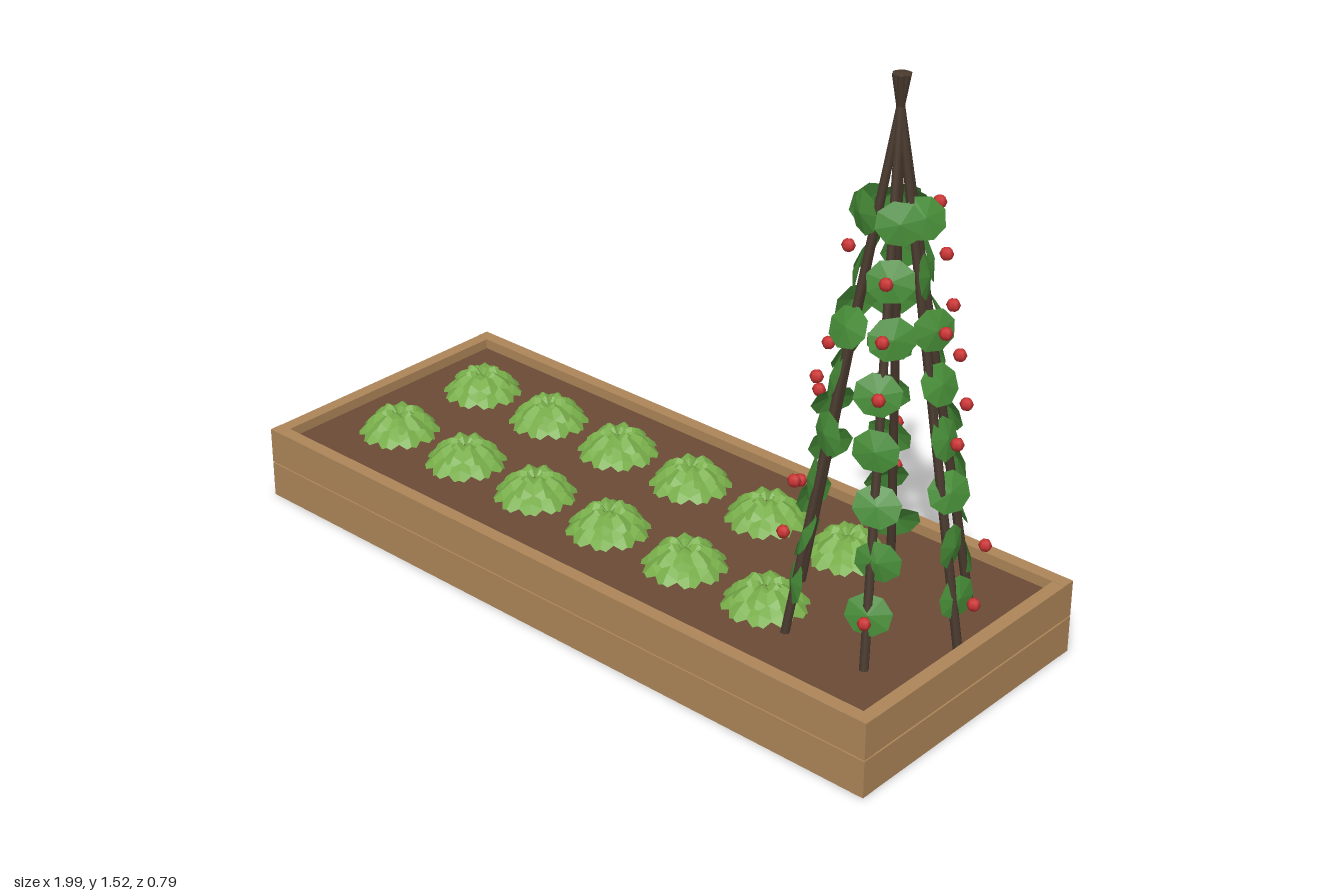
import * as THREE from 'three';
import { mergeGeometries } from 'three/addons/utils/BufferGeometryUtils.js';

let seed = 7;
const rand = (a, b) => {
  seed = (seed * 16807) % 2147483647;
  return a + (b - a) * (seed / 2147483647);
};

// Faceted geometry from a list of points and triangle indices
function faceted(points, index) {
  const g = new THREE.BufferGeometry();
  g.setAttribute('position', new THREE.Float32BufferAttribute(points.flat(), 3));
  g.setIndex(index);
  const flat = g.toNonIndexed();
  flat.computeVertexNormals();
  return flat;
}

// Arched petal running outwards from (r0, y0) to (r1, y1), with a central ridge
function petal(r0, y0, r1, y1, halfWidth, angle) {
  const stations = [[0, 0.3], [0.35, 0.85], [0.75, 1], [1, 0.4]];
  const points = [], index = [];
  stations.forEach(([t, w], i) => {
    const r = r0 + (r1 - r0) * t;
    const y = y0 + (y1 - y0) * t + 0.012 * Math.sin(Math.PI * t);
    for (const s of [-1, 0, 1]) points.push([r, y - Math.abs(s) * 0.013 * w, s * halfWidth * w]);
    if (i === 0) return;
    for (let j = 0; j < 2; j++) {
      const a = (i - 1) * 3 + j, b = a + 3;
      index.push(a, a + 1, b, a + 1, b + 1, b);
    }
  });
  return faceted(points, index).rotateY(angle);
}

// Leafy rosette: three rings of petals
function rosetteGeometry() {
  const parts = [];
  const ring = (n, r0, y0, r1, y1, w, twist) => {
    for (let i = 0; i < n; i++) parts.push(petal(r0, y0, r1, y1, w, (i / n) * Math.PI * 2 + twist));
  };
  ring(10, 0.03, 0.058, 0.106, 0.016, 0.032, 0);
  ring(8, 0.015, 0.072, 0.082, 0.047, 0.025, 0.3);
  ring(6, 0.005, 0.062, 0.046, 0.078, 0.017, 0.1);
  return mergeGeometries(parts);
}

// Cupped eight-sided leaf facing +z
function leafGeometry() {
  const points = [[0, 0, 0.012]], index = [];
  for (let i = 0; i < 8; i++) {
    const a = ((i + 0.5) / 8) * Math.PI * 2;
    points.push([Math.cos(a) * 0.057, Math.sin(a) * 0.051, 0]);
    index.push(0, i + 1, ((i + 1) % 8) + 1);
  }
  return faceted(points, index);
}

export function createModel() {
  const model = new THREE.Group();
  const mat = (name, color, side = THREE.FrontSide) =>
    Object.assign(new THREE.MeshStandardMaterial({ color, side }), { name });
  const wood = mat('plank wood', 0xae8659);
  const earth = mat('soil', 0x6b4b36);
  const cane = mat('dark cane', 0x4a3a2e);
  const vine = mat('vine green', 0x468b37, THREE.DoubleSide);
  const lettuce = mat('lettuce green', 0x78ae4a, THREE.DoubleSide);
  const red = mat('berry red', 0xcc3434);

  const add = (parent, name, geometry, material, x = 0, y = 0, z = 0) => {
    const mesh = new THREE.Mesh(geometry, material);
    mesh.name = name;
    mesh.position.set(x, y, z);
    parent.add(mesh);
    return mesh;
  };

  // Raised bed: two courses of planks with a narrow gap
  const bed = new THREE.Group();
  bed.name = 'raisedBed';
  model.add(bed);
  const longPlank = new THREE.BoxGeometry(1.99, 0.0965, 0.035);
  const endPlank = new THREE.BoxGeometry(0.035, 0.095, 0.73);
  for (const y of [0.048, 0.148]) {
    for (const s of [-1, 1]) {
      add(bed, 'longPlank', longPlank, wood, 0, y, s * 0.3795);
      add(bed, 'endPlank', endPlank, wood, s * 0.9775, y, 0);
    }
  }
  add(bed, 'soil', new THREE.BoxGeometry(1.92, 0.02, 0.724), earth, 0, 0.158, 0);

  // Two rows of lettuces
  const rosette = rosetteGeometry();
  for (const z of [-0.153, 0.153]) {
    for (let i = 0; i < 6; i++) {
      add(model, 'lettuce', rosette, lettuce, -0.76 + i * 0.253, 0.168, z).rotation.y = rand(0, 6.28);
    }
  }

  // Wigwam of six canes crossing just below the top
  const wigwam = new THREE.Group();
  wigwam.name = 'climbingFrame';
  wigwam.position.x = 0.72;
  model.add(wigwam);
  const caneRadiusAt = (y) => (0.225 * (1.44 - y)) / 1.24;
  const y0 = 0.155, y1 = 1.515;
  const lean = Math.atan2(caneRadiusAt(y0) - caneRadiusAt(y1), y1 - y0);
  const caneGeometry = new THREE.CylinderGeometry(0.01, 0.012, (y1 - y0) / Math.cos(lean), 6);
  const leaf = leafGeometry();
  const berry = new THREE.SphereGeometry(0.0165, 6, 4);
  // Canes that carry a berry at each level, from the bottom up
  const berries = [[0, 1, 5], [2, 3, 4], [2, 4], [0, 3, 5], [1, 2, 3, 5], [0, 1, 5], [1, 3, 5], [5]];

  for (let i = 0; i < 6; i++) {
    // Each cane group points its +z axis outwards
    const arm = new THREE.Group();
    arm.name = 'caneWithVine';
    arm.rotation.y = Math.PI / 2 - (i * Math.PI) / 3;
    wigwam.add(arm);
    const mid = (y0 + y1) / 2;
    add(arm, 'cane', caneGeometry, cane, 0, mid, caneRadiusAt(mid)).rotation.x = -lean;
    berries.forEach((carriers, level) => {
      const y = 0.31 + level * 0.128, r = caneRadiusAt(y);
      // Leaves hug the cane low down and stand off it near the top
      const blade = add(arm, 'vineLeaf', leaf, vine, rand(-0.02, 0.02), y - 0.01, r + 0.004 + level * 0.003);
      blade.rotation.set(-rand(0.05, 0.5), rand(-0.5, 0.5), rand(-0.3, 0.3), 'YXZ');
      if (carriers.includes(i)) add(arm, 'berry', berry, red, 0, y, r + 0.06);
    });
  }
  return model;
}
